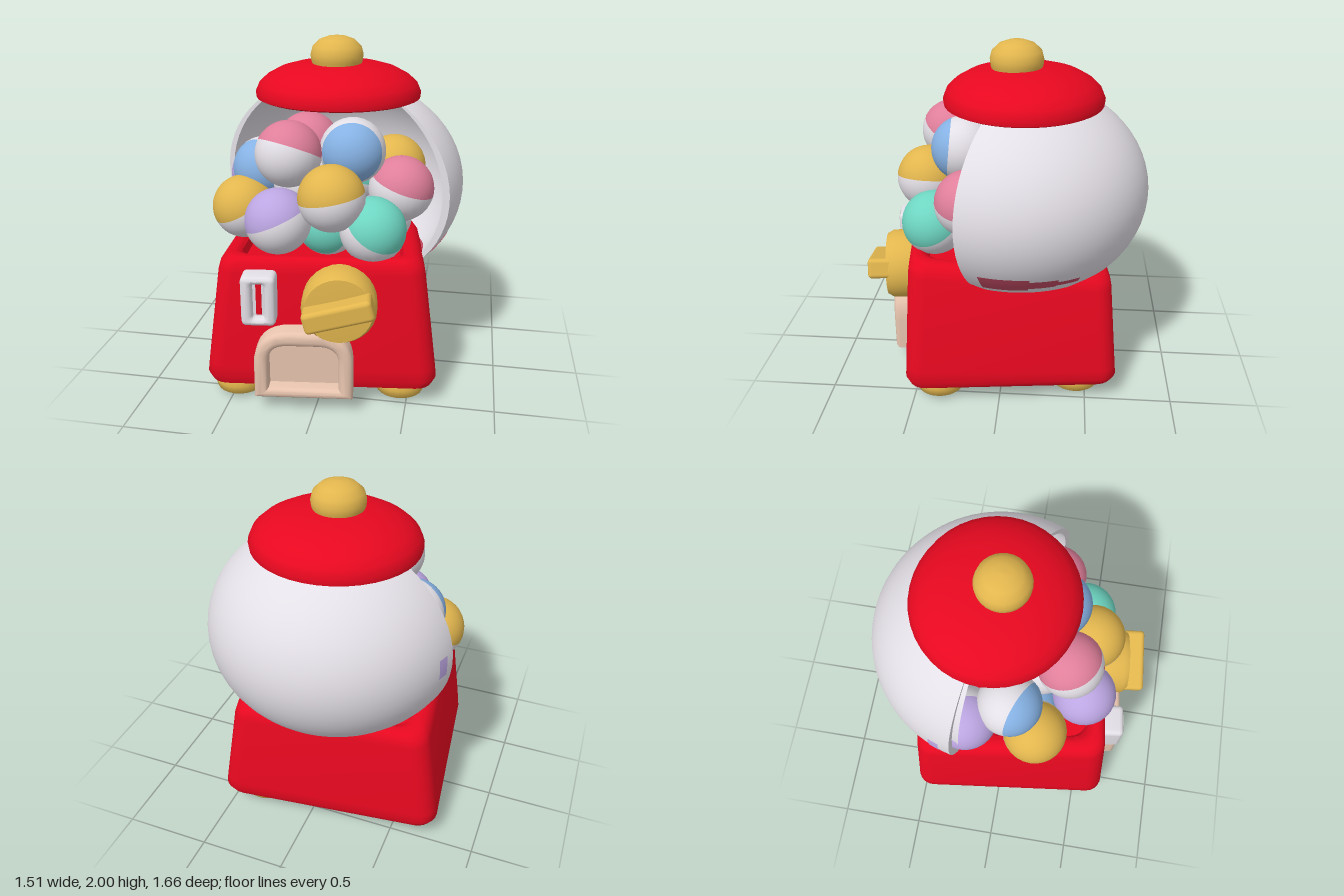
import * as THREE from 'three';
import { toCreasedNormals } from 'three/addons/utils/BufferGeometryUtils.js';
import { RoundedBoxGeometry } from 'three/addons/geometries/RoundedBoxGeometry.js';

function paint(name, color, side = THREE.FrontSide) {
  const m = new THREE.MeshStandardMaterial({ color, side });
  m.name = name;
  return m;
}
const red = paint('red', 0xea0820, THREE.DoubleSide);
const gold = paint('gold', 0xe2b64e);
const white = paint('white', 0xe3dfe6, THREE.DoubleSide);
const pink = paint('pink', 0xe07f9b);
const blue = paint('blue', 0x86b2e4);
const purple = paint('purple', 0xbca6e2, THREE.DoubleSide);
const teal = paint('teal', 0x6ed6c2);
const peach = paint('peach', 0xecc8b2);
const rose = paint('rose', 0xc04a62, THREE.DoubleSide);

const deg = Math.PI / 180;

function add(parent, name, geometry, material, x = 0, y = 0, z = 0) {
  const mesh = new THREE.Mesh(geometry, material);
  mesh.name = name;
  mesh.position.set(x, y, z);
  parent.add(mesh);
  return mesh;
}

const points = (list) => list.map(([x, y]) => new THREE.Vector2(x, y));

// Loft through rounded rectangles [halfWidth, halfDepth, y]; the top tilts forward
function loftBase(rings) {
  const pos = [], index = [], seg = 5, n = 4 * (seg + 1);
  for (const [hx, hz, y] of rings) {
    const r = Math.min(0.1, hx, hz);
    for (let c = 0; c < 4; c++) {
      const sx = c === 0 || c === 3 ? 1 : -1, sz = c < 2 ? 1 : -1;
      for (let k = 0; k <= seg; k++) {
        const a = (c + k / seg) * Math.PI / 2;
        const x = sx * (hx - r) + r * Math.cos(a), z = sz * (hz - r) + r * Math.sin(a);
        pos.push(x, y + 0.11 * z * (y - 0.1) / 0.73, z);
      }
    }
  }
  for (let i = 0; i < rings.length - 1; i++) {
    for (let j = 0; j < n; j++) {
      const a = i * n + j, b = i * n + (j + 1) % n;
      index.push(a, a + n, b, b, a + n, b + n);
    }
  }
  const g = new THREE.BufferGeometry();
  g.setAttribute('position', new THREE.Float32BufferAttribute(pos, 3));
  g.setIndex(index);
  return toCreasedNormals(g, 0.8);
}

// Arch outline with a flat bottom at y = 0
function arch(path, w, h, corner) {
  path.moveTo(-w, 0);
  path.lineTo(w, 0);
  path.lineTo(w, h - corner);
  path.quadraticCurveTo(w, h, w - corner, h);
  path.lineTo(corner - w, h);
  path.quadraticCurveTo(-w, h, -w, h - corner);
  path.closePath();
  return path;
}

function roundedRect(path, w, h, r) {
  path.moveTo(-w + r, -h);
  path.lineTo(w - r, -h);
  path.quadraticCurveTo(w, -h, w, -h + r);
  path.lineTo(w, h - r);
  path.quadraticCurveTo(w, h, w - r, h);
  path.lineTo(-w + r, h);
  path.quadraticCurveTo(-w, h, -w, h - r);
  path.lineTo(-w, -h + r);
  path.quadraticCurveTo(-w, -h, -w + r, -h);
  return path;
}

// Extrusion whose bevel stays within the outline; z runs from back to front
function extrude(shape, back, front, b) {
  const g = new THREE.ExtrudeGeometry(shape, {
    depth: front - back - 2 * b, bevelSize: b, bevelThickness: b,
    bevelOffset: -b, bevelSegments: 3, curveSegments: 8,
  });
  g.translate(0, 0, back + b);
  return toCreasedNormals(g, 0.7);
}

// Points along the globe wall between two heights
function globeArc(y0, y1, scale, steps) {
  const t0 = Math.asin((y0 - 1.14) / 0.62), t1 = Math.asin((y1 - 1.14) / 0.62), out = [];
  for (let i = 0; i <= steps; i++) {
    const t = t0 + (t1 - t0) * i / steps;
    out.push(new THREE.Vector2(0.75 * scale * Math.cos(t), 1.14 + 0.62 * Math.sin(t)));
  }
  return out;
}

// Two-coloured ball, the coloured cap pointing along axis
function ball(parent, [color, x, y, z, axis, cap = 88, r = 0.185]) {
  const g = new THREE.Group();
  g.name = 'ball';
  add(g, 'ballCap', new THREE.SphereGeometry(r, 28, 14, 0, Math.PI * 2, 0, cap * deg), color);
  add(g, 'ballBody', new THREE.SphereGeometry(r, 28, 14, 0, Math.PI * 2, cap * deg, Math.PI - cap * deg), white);
  g.position.set(x, y, z);
  g.quaternion.setFromUnitVectors(new THREE.Vector3(0, 1, 0), new THREE.Vector3(...axis).normalize());
  parent.add(g);
}

export function createModel() {
  const model = new THREE.Group();
  model.name = 'candyDispenser';

  // Base with its front fittings, turned slightly
  const base = new THREE.Group();
  base.name = 'base';
  base.position.x = -0.05;
  base.rotation.y = 0.12;
  model.add(base);
  add(base, 'baseBody', loftBase([
    [0.001, 0.001, 0.1], [0.59, 0.555, 0.1], [0.635, 0.595, 0.115], [0.655, 0.612, 0.16],
    [0.648, 0.608, 0.22], [0.575, 0.575, 0.74], [0.56, 0.567, 0.79], [0.53, 0.545, 0.82],
    [0.49, 0.51, 0.83], [0.455, 0.48, 0.815], [0.44, 0.46, 0.77], [0.001, 0.001, 0.77],
  ]), red);

  // Chute
  const chuteShape = arch(new THREE.Shape(), 0.275, 0.41, 0.21);
  const opening = arch(new THREE.Path(), 0.195, 0.265, 0.11);
  chuteShape.holes.push(new THREE.Path(opening.getPoints(8).map((p) => p.add(new THREE.Vector2(0, 0.06)))));
  add(base, 'chuteFrame', extrude(chuteShape, 0.26, 0.705, 0.03), peach, -0.088, 0.093, 0);
  add(base, 'chuteBack', new THREE.BoxGeometry(0.42, 0.3, 0.03), peach, -0.088, 0.29, 0.605);

  // Coin slot
  const slotShape = roundedRect(new THREE.Shape(), 0.095, 0.145, 0.035);
  slotShape.holes.push(roundedRect(new THREE.Path(), 0.033, 0.1, 0.015));
  add(base, 'coinPlate', extrude(slotShape, 0.5, 0.685, 0.025), white, -0.33, 0.675, 0);
  add(base, 'coinPlateBack', new THREE.BoxGeometry(0.12, 0.23, 0.03), white, -0.33, 0.675, 0.62);
  add(base, 'coinSlit', new THREE.BoxGeometry(0.03, 0.18, 0.008), red, -0.33, 0.675, 0.639);

  // Dial and handle
  const dial = add(base, 'dial', toCreasedNormals(new THREE.LatheGeometry(points([
    [0, 0.48], [0.19, 0.48], [0.205, 0.56], [0.205, 0.69], [0.185, 0.725], [0, 0.74],
  ]), 28), 0.6), gold, 0.108, 0.655, 0);
  dial.rotation.x = Math.PI / 2;
  const handle = add(base, 'dialHandle', new RoundedBoxGeometry(0.38, 0.12, 0.15, 3, 0.025), gold, 0.108, 0.665, 0.755);
  handle.rotation.z = 0.26;

  // Feet
  const footProfile = points([[0, 0], [0.1, 0], [0.138, 0.025], [0.152, 0.075], [0.14, 0.13], [0, 0.15]]);
  for (const [x, z] of [[-0.48, 0.48], [0.45, 0.36], [-0.56, -0.28], [0.34, -0.44]]) {
    add(model, 'foot', new THREE.LatheGeometry(footProfile, 24), gold, x, 0, z);
  }

  // Globe shell, open at the front, its inside shallower than its outside
  const globe = new THREE.Group();
  globe.name = 'globe';
  globe.position.z = -0.08;
  model.add(globe);
  const start = 66 * deg, sweep = 191 * deg;
  const outer = globeArc(0.73, 1.67, 1, 18), inner = globeArc(0.73, 1.67, 0.94, 18).reverse();
  add(globe, 'globeOutside', new THREE.LatheGeometry(outer, 48, start, sweep), white);
  const inside = new THREE.LatheGeometry(inner, 48, start, sweep);
  const p = inside.attributes.position;
  for (let i = 0; i < p.count; i++) if (p.getZ(i) < 0) p.setZ(i, p.getZ(i) * 0.78);
  add(globe, 'globeInside', toCreasedNormals(inside, 0.8), white);
  for (const phi of [start, start + sweep]) {
    const edge = new THREE.ShapeGeometry(new THREE.Shape([...outer, ...inner]));
    add(globe, 'globeEdge', edge, white).rotation.y = phi - Math.PI / 2;
  }
  // Underside of the shell and tinted patches on it
  add(globe, 'globeUnderside', new THREE.LatheGeometry(
    points([[0.38, 0.74], [0.5, 0.735], [0.564, 0.731]]), 48, start, sweep), rose);
  for (const [y0, y1, from, to] of [[0.765, 0.87, 74, 98], [0.785, 0.85, 98, 112], [0.795, 0.83, 112, 124]]) {
    add(globe, 'roseTint', new THREE.LatheGeometry(
      globeArc(y0, y1, 1.005, 4), 10, from * deg, (to - from) * deg), rose);
  }
  add(globe, 'purpleTint', new THREE.LatheGeometry(globeArc(1.1, 1.22, 1.005, 4), 6, 247 * deg, 5 * deg), purple);

  // Balls: colour, centre, cap direction, cap angle
  const balls = [
    [pink, -0.2, 1.405, 0.34, [0.25, 1, -0.42], 82],
    [blue, 0.14, 1.41, 0.23, [0.1, 0.1, 1], 63],
    [gold, 0.06, 1.2, 0.45, [-0.2, 1, -0.04]],
    [purple, -0.24, 1.05, 0.45, [-0.4, 0.9, 0], 84],
    [gold, -0.505, 1.035, 0.2, [-0.45, 0.85, 0.2], 84],
    [blue, -0.42, 1.23, 0.04, [-0.4, 0.1, 0.9], 68],
    [pink, 0.41, 1.19, 0.18, [0.35, 1, 0], 82],
    [teal, 0.28, 1.01, 0.39, [0.5, 0.75, 0.35], 80],
    [teal, 0, 0.97, 0.22, [-0.1, -0.1, 1], 48],
    [gold, 0.34, 1.24, -0.1, [0.2, 1, 0.3]],
    [purple, -0.51, 1.12, -0.2, [-0.7, 0.5, 0.2], 80],
    [white, -0.14, 1.2, 0.18, [0, 1, 0]],
    [teal, 0.12, 1.22, 0.02, [0.3, 1, 0]],
    [pink, -0.16, 1.38, 0, [0, 1, 0.3]],
    [blue, -0.3, 0.95, 0.12, [0, 1, 0]],
    [purple, 0.28, 0.97, 0.05, [0, 1, 0]],
  ];
  balls.forEach((b) => ball(model, b));

  // Lid and knob
  const lid = add(model, 'lid', toCreasedNormals(new THREE.LatheGeometry(points([
    [0, 1.64], [0.455, 1.64], [0.478, 1.65], [0.482, 1.68], [0.46, 1.73], [0.415, 1.77],
    [0.34, 1.81], [0.25, 1.835], [0.14, 1.85], [0, 1.855],
  ]), 40), 0.8), red, 0, 0, -0.1);
  lid.scale.z = 0.95;
  add(model, 'knob', new THREE.LatheGeometry(points([
    [0.135, 1.82], [0.148, 1.86], [0.152, 1.895], [0.14, 1.94], [0.1, 1.978], [0.05, 1.996], [0, 2],
  ]), 28), gold, 0, 0, -0.058);

  return model;
}
